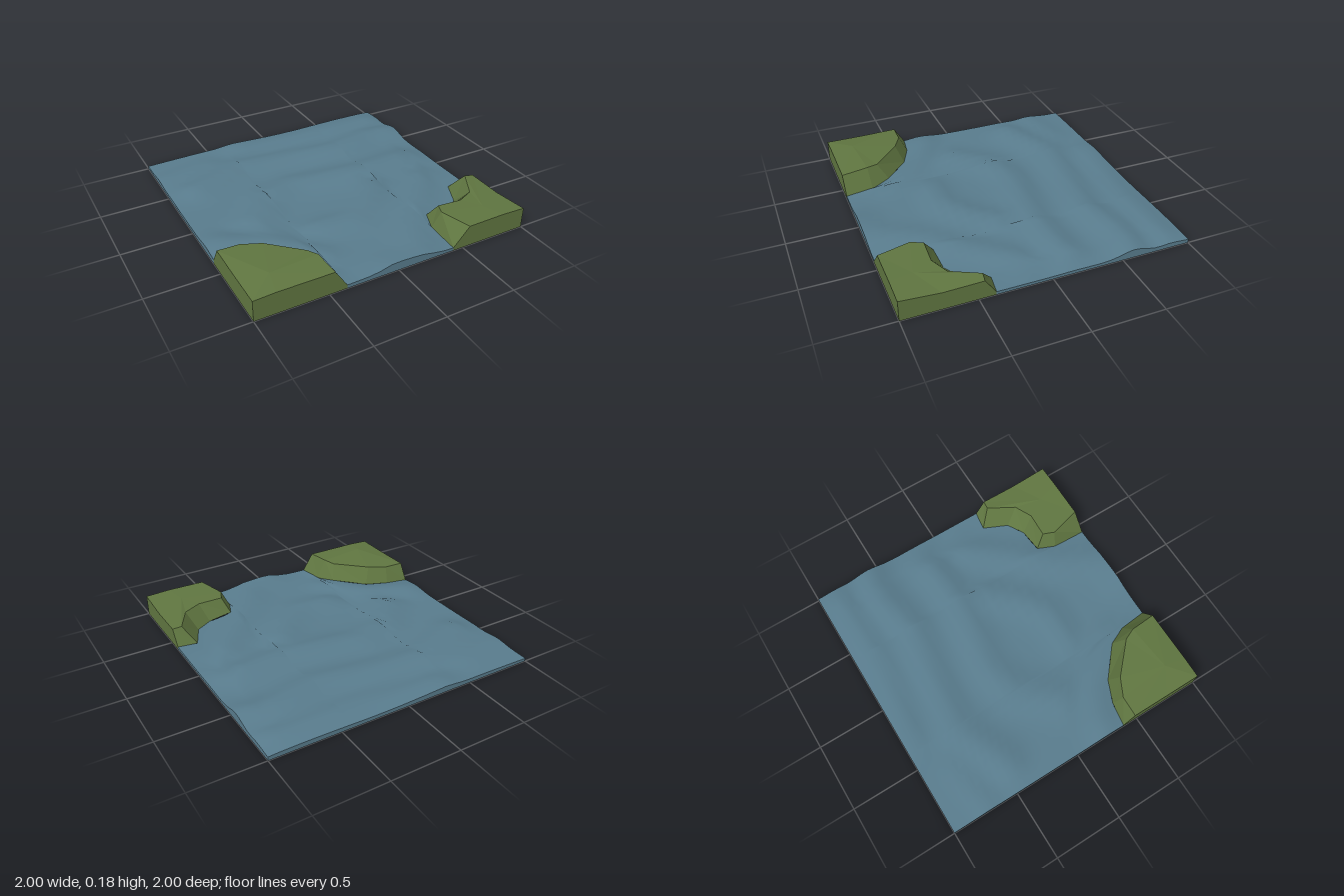
import * as THREE from 'three';

const waterMat = new THREE.MeshStandardMaterial({ color: 0x587b8c, side: THREE.DoubleSide });
const grassMat = new THREE.MeshStandardMaterial({ color: 0x5f7540, side: THREE.DoubleSide });

// Wave crests: path of [x, z] points, height above the trough level, width
const crests = [
  { path: [[-0.8, -0.45], [-0.4, -0.62], [0, -0.58], [0.4, -0.52], [0.75, -0.6], [0.95, -0.58]], h: 0.048, w: 0.12 },
  { path: [[-0.6, 0.12], [-0.4, -0.12], [-0.15, -0.2], [0.4, -0.12], [0.8, -0.16]], h: 0.05, w: 0.12 },
  { path: [[-0.25, 0.4], [0, 0.4], [0.2, 0.27], [0.35, 0.08]], h: 0.045, w: 0.1 },
  { path: [[-0.95, -0.72], [-0.6, -0.78]], h: 0.02, w: 0.1 },
  { path: [[-0.3, -0.92], [0.3, -0.85], [0.9, -0.86]], h: 0.032, w: 0.1 },
  { path: [[-0.02, 1], [0.17, 0.95], [0.3, 0.7], [0.55, 0.4], [0.75, 0.15]], h: 0.036, w: 0.11 },
  { path: [[-0.9, 0.25], [-0.6, 0.38], [-0.4, 0.65]], h: 0.036, w: 0.12 },
];

function distance(x, z, path) {
  let best = Infinity;
  for (let i = 0; i < path.length - 1; i++) {
    const [ax, az] = path[i], dx = path[i + 1][0] - ax, dz = path[i + 1][1] - az;
    const t = THREE.MathUtils.clamp(((x - ax) * dx + (z - az) * dz) / (dx * dx + dz * dz), 0, 1);
    best = Math.min(best, Math.hypot(x - ax - t * dx, z - az - t * dz));
  }
  return best;
}

function waterHeight(x, z) {
  let y = 0;
  for (const c of crests) y = Math.max(y, c.h * Math.exp(-((distance(x, z, c.path) / c.w) ** 2)));
  return 0.025 + y + 0.004 * Math.sin(5 * x + 2 * z);
}

// Bank outlines, clockwise from above: foot [x, z], brow and rim [x, z, y]
const banks = [
  {
    name: 'rightBank',
    foot: [[-1, 0.385], [-0.83, 0.41], [-0.67, 0.48], [-0.46, 0.66], [-0.395, 0.8], [-0.375, 1]],
    brow: [[-1, 0.46, 0.155], [-0.85, 0.465, 0.155], [-0.72, 0.53, 0.16], [-0.51, 0.73, 0.16], [-0.475, 0.81, 0.17], [-0.46, 1, 0.155]],
    rim: [[-0.85, 1, 0.157], [-1, 1, 0.15], [-1, 0.73, 0.15]],
    peak: [-0.82, 0.84, 0.178],
  },
  {
    name: 'leftBank',
    foot: [[0.425, 1], [0.43, 0.75], [0.48, 0.62], [0.66, 0.61], [0.78, 0.54], [0.86, 0.365], [1, 0.385]],
    brow: [[0.545, 1, 0.153], [0.485, 0.77, 0.15], [0.52, 0.69, 0.145], [0.7, 0.7, 0.14], [0.83, 0.64, 0.135], [0.935, 0.45, 0.14], [1, 0.46, 0.132]],
    rim: [[1, 0.73, 0.128], [1, 1, 0.15], [0.82, 1, 0.157]],
    peak: [0.78, 0.84, 0.145],
  },
];
const shore = [...banks[0].foot, ...banks[1].foot];

// Flat-faced mesh from a list of triangle corners
function facets(name, points, material) {
  const geo = new THREE.BufferGeometry().setFromPoints(points);
  geo.computeVertexNormals();
  const mesh = new THREE.Mesh(geo, material);
  mesh.name = name;
  return mesh;
}

// Vertical walls from a run of points down to the ground
function dropWalls(out, run) {
  const base = (p) => new THREE.Vector3(p.x, 0, p.z);
  for (let i = 0; i < run.length - 1; i++) {
    const a = run[i], b = run[i + 1];
    out.push(a, b, base(b), a, base(b), base(a));
  }
}

function makeBank({ name, foot, brow, rim, peak }) {
  const vec = ([x, z, y]) => new THREE.Vector3(x, y, z);
  const low = foot.map(([x, z]) => new THREE.Vector3(x, waterHeight(x, z), z));
  const high = brow.map(vec), edge = rim.map(vec), top = vec(peak);
  const tris = [];
  // Sloping side
  for (let i = 0; i < low.length - 1; i++) {
    tris.push(low[i], high[i], high[i + 1], low[i], high[i + 1], low[i + 1]);
  }
  // Grassy top
  const ring = [...high, ...edge];
  ring.forEach((p, i) => tris.push(top, ring[(i + 1) % ring.length], p));
  // Cut sides along the tile border
  dropWalls(tris, [low.at(-1), high.at(-1), ...edge, high[0], low[0]]);
  return facets(name, tris, grassMat);
}

function makeWater() {
  // Columns run from the back edge to the shoreline
  const columns = [], rows = 26;
  for (let k = 0; k < shore.length - 1; k++) {
    const [x0, z0] = shore[k], [x1, z1] = shore[k + 1];
    const steps = Math.ceil((x1 - x0) / 0.08);
    for (let s = 0; s < steps; s++) columns.push([x0 + (x1 - x0) * s / steps, z0 + (z1 - z0) * s / steps]);
  }
  columns.push(shore.at(-1));

  const grid = columns.map(([x, end]) => Array.from({ length: rows + 1 }, (_, j) => {
    const z = -1 + (end + 1) * j / rows;
    return new THREE.Vector3(x, waterHeight(x, z), z);
  }));
  const index = [], stride = rows + 1;
  for (let i = 0; i < columns.length - 1; i++) {
    for (let j = 0; j < rows; j++) {
      const a = i * stride + j, c = a + stride;
      index.push(a, a + 1, c + 1, a, c + 1, c);
    }
  }
  const geo = new THREE.BufferGeometry().setFromPoints(grid.flat());
  geo.setIndex(index);
  geo.computeVertexNormals();
  const surface = new THREE.Mesh(geo, waterMat);
  surface.name = 'waterSurface';

  // Thin skirt around the open borders
  const skirt = [];
  dropWalls(skirt, grid.map((col) => col[0]));
  dropWalls(skirt, [...grid[0]].reverse());
  dropWalls(skirt, grid.at(-1));
  dropWalls(skirt, grid.map((col) => col[rows]).filter((p) => p.z > 0.999).reverse());
  const group = new THREE.Group();
  group.name = 'water';
  group.add(surface, facets('waterSkirt', skirt, waterMat));
  return group;
}

export function createModel() {
  const model = new THREE.Group();
  model.name = 'riverMouthTile';
  model.add(makeWater(), ...banks.map(makeBank));
  return model;
}
